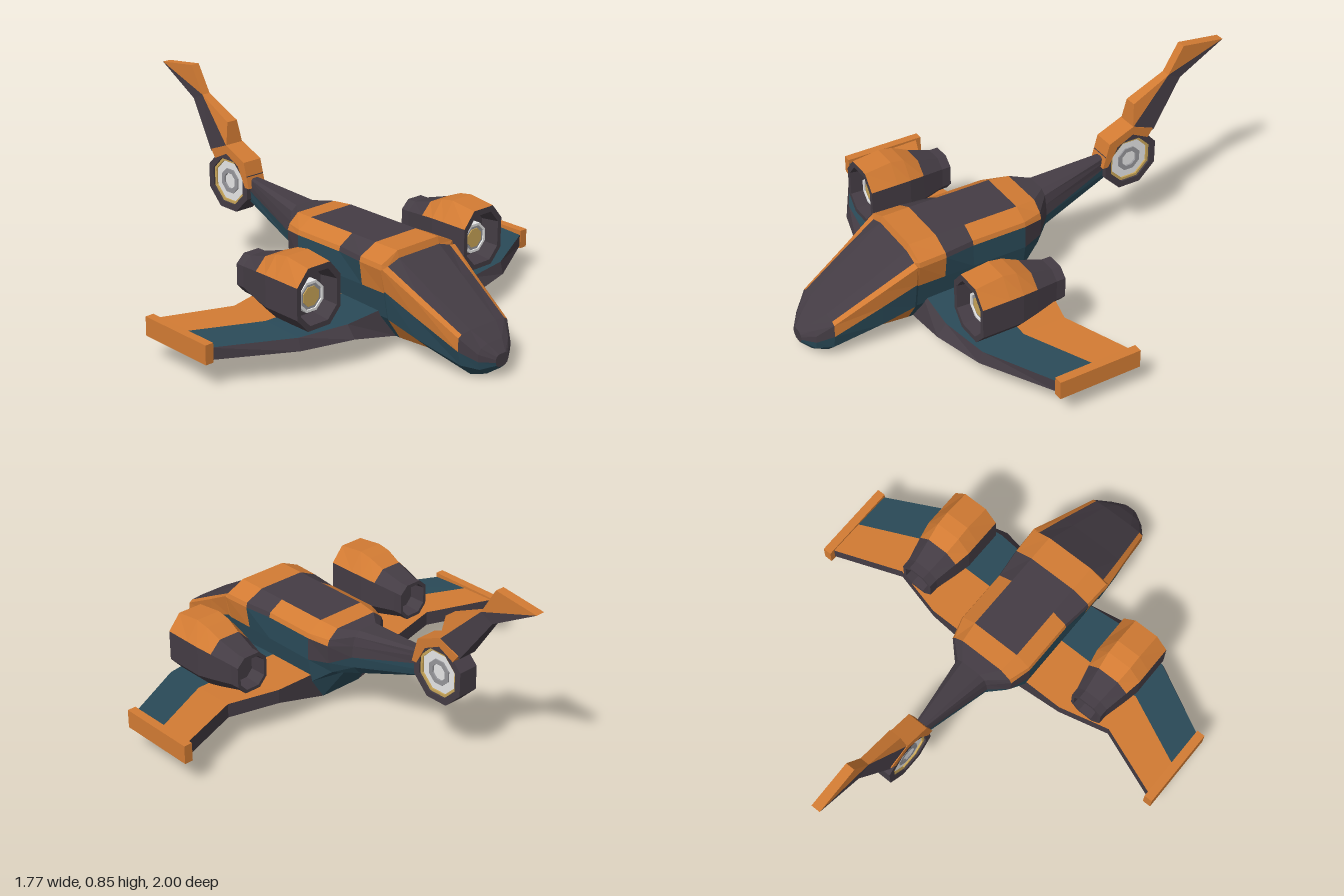
import * as THREE from 'three';

const COLORS = { O: ['orangePaint', 0xd27b33], D: ['darkHull', 0x443c44], T: ['tealHull', 0x2a4a58],
  W: ['whiteMetal', 0xe6e6e6], S: ['silverMetal', 0x96969a], G: ['goldMetal', 0xcaa658] };

export function createModel() {
  const mats = {};
  for (const [k, [name, color]] of Object.entries(COLORS)) {
    mats[k] = new THREE.MeshStandardMaterial({ color });
    mats[k].name = name;
  }
  const root = new THREE.Group();
  root.name = 'jetAircraft';

  const add = (name, geo, mat, parent = root) => {
    const mesh = new THREE.Mesh(geo, mat);
    mesh.name = name;
    parent.add(mesh);
    return mesh;
  };

  // Faceted skin through closed rings that turn counterclockwise about the direction of progress;
  // colorAt(segment, edge) gives the colour letter, caps close both ends.
  function loft(name, rings, colorAt, capColor, parent) {
    const faces = {};
    const tri = (k, ...pts) => (faces[k] ??= []).push(...pts.flat());
    const n = rings[0].length;
    for (let i = 0; i < rings.length - 1; i++) {
      for (let j = 0; j < n; j++) {
        const a = rings[i][j], b = rings[i][(j + 1) % n], c = rings[i + 1][(j + 1) % n], d = rings[i + 1][j];
        const k = colorAt(i, j);
        tri(k, a, b, c);
        tri(k, a, c, d);
      }
    }
    const first = rings[0], last = rings[rings.length - 1];
    for (let j = 1; j < n - 1; j++) {
      tri(capColor, first[0], first[j + 1], first[j]);
      tri(capColor, last[0], last[j], last[j + 1]);
    }
    const geo = new THREE.BufferGeometry();
    const keys = Object.keys(faces);
    let start = 0;
    keys.forEach((k, i) => {
      geo.addGroup(start, faces[k].length / 3, i);
      start += faces[k].length / 3;
    });
    geo.setAttribute('position', new THREE.Float32BufferAttribute(keys.flatMap(k => faces[k]), 3));
    geo.computeVertexNormals();
    add(name, geo, keys.map(k => mats[k]), parent);
  }

  // Closed ring at depth z from the right-hand half of a section, mirrored in x
  const mirrorRing = (z, half) => [
    ...half.map(([x, y]) => [x, y, z]),
    ...[...half].reverse().map(([x, y]) => [-x, y, z]),
  ];

  // Upright plate from [z, y, halfWidth] corners
  function plate(name, pts, color) {
    let area = 0;
    pts.forEach((p, i) => {
      const q = pts[(i + 1) % pts.length];
      area += p[1] * q[0] - q[1] * p[0];
    });
    const p = area < 0 ? [...pts].reverse() : pts;
    loft(name, [-1, 1].map(s => p.map(([z, y, w]) => [s * w, y, z])), () => color, color);
  }

  // Eight-sided ring around the y axis
  function ring(name, rIn, rOut, h, color, parent) {
    const p = [[rIn, -h], [rOut, -h], [rOut, h], [rIn, h], [rIn, -h]].map(v => new THREE.Vector2(...v));
    const geo = new THREE.LatheGeometry(p, 8, Math.PI / 8).toNonIndexed();
    geo.computeVertexNormals();
    add(name, geo, mats[color], parent);
  }

  // Fuselage: z, then half-section corners from belly to roof; the cabin keeps one section
  // whose shoulders flare outwards
  const cabin = (z, flare) => [z, [.10, .055], [.16, .15], [.18, .26],
    [.18 + flare, .36], [.174 + flare, .38], [.11, .418]];
  const tail = [
    [-0.44, [.012, .335], [.018, .36], [.02, .39], [.02, .42], [.018, .437], [.01, .442]],
    [-0.10, [.04, .21], [.075, .25], [.085, .30], [.08, .35], [.07, .39], [.045, .41]],
    [-0.03, [.06, .195], [.13, .22], [.15, .27], [.155, .35], [.145, .375], [.10, .412]],
  ];
  const nose = [
    [0.56, [.10, .055], [.165, .15], [.185, .27], [.20, .365], [.17, .37], [.11, .39]],
    [0.70, [.085, .055], [.15, .11], [.163, .205], [.172, .285], [.15, .295], [.095, .305]],
    [0.90, [.06, .005], [.12, .06], [.135, .12], [.135, .175], [.118, .185], [.07, .19]],
    [0.96, [.04, .022], [.08, .05], [.09, .085], [.09, .115], [.075, .135], [.04, .145]],
    [1.00, [.018, .055], [.03, .065], [.035, .078], [.035, .09], [.03, .10], [.018, .107]],
  ];
  const hull = [...tail, cabin(0.06, 0), cabin(0.30, 0), cabin(0.43, 0.015), cabin(0.55, 0.02), ...nose];
  // Colours of each segment, belly to roof
  const hullPaint = ['TTDDDD', 'TTDDDD', 'TTDOOO', 'TTTOOD', 'TTTDDD', 'TTOOOO', 'TTOOOO', 'OTOODD',
    'TTOODD', 'TTDDDD', 'TTDDDD'];
  loft('fuselage', hull.map(([z, ...half]) => mirrorRing(z, half)),
    (i, j) => (j === 11 ? 'T' : hullPaint[i][Math.min(j, 10 - j)]), 'D');

  // Wings, tip to tip: x, rear z, paint line z, front z at top and bottom, bottom y
  const wing = [
    [0.86, 0, 0.16, 0.33, 0.33, 0.12],
    [0.56, 0.115, 0.30, 0.485, 0.50, 0.12],
    [0.34, 0.06, 0.30, 0.52, 0.56, 0.12],
    [0.10, 0.06, 0.30, 0.50, 0.54, 0.056],
  ];
  const span = [...wing.map(([x, ...r]) => [-x, ...r]), ...[...wing].reverse()];
  loft('wings', span.map(([x, zr, zm, zt, zb, yb]) => [
    [x, 0.182, zr], [x, 0.178, zm], [x, 0.17, zt], [x, yb, zb], [x, yb, zr],
  ]), (i, j) => 'OTDTD'[j], 'D');

  for (const s of [1, -1]) {
    const side = s > 0 ? 'left' : 'right';
    add(side + 'WingTip', new THREE.BoxGeometry(0.037, 0.08, 0.36).translate(s * 0.867, 0.15, 0.16), mats.O);

    // Wing engine: hollow nacelle with an orange cowl on top
    const engine = new THREE.Group();
    engine.name = side + 'Engine';
    engine.position.set(s * 0.45, 0.29, 0);
    root.add(engine);
    // Stations: z, scale, roof height
    const stations = [[.16, .5, .06], [.09, .55, .07], [.09, .67, .085], [.13, .68, .085], [.23, .88, .115],
      [.30, 1, .145], [.36, 1, .155], [.48, 1, .14], [.48, .82, .115], [.40, .74, .10]];
    const nacelleRing = ([z, k, roof]) => mirrorRing(z,
      [[.055 * k, -.115 * k], [.11 * k, -.055 * k], [.11 * k, .075 * k], [.055 * k, roof]]);
    loft('nacelle', stations.map(nacelleRing),
      (i, j) => (i >= 4 && i <= 6 && j >= 2 && j <= 4 ? 'O' : 'D'), 'D', engine);

    // Turbine inside the intake
    const turbine = new THREE.Group();
    turbine.name = 'turbine';
    turbine.rotation.x = Math.PI / 2;
    turbine.position.z = 0.42;
    engine.add(turbine);
    ring('turbineRim', 0.055, 0.066, 0.018, 'W', turbine);
    ring('turbineBlades', 0.038, 0.056, 0.012, 'S', turbine);
    ring('turbineHub', 0, 0.042, 0.016, 'G', turbine);
  }

  // Tail rotor housing, axis across the body
  const pod = new THREE.Group();
  pod.name = 'tailRotor';
  pod.position.set(0, 0.4, -0.537);
  pod.rotation.z = Math.PI / 2;
  root.add(pod);
  ring('rotorHousing', 0.104, 0.134, 0.045, 'D', pod);
  ring('rotorGoldRing', 0.092, 0.106, 0.037, 'G', pod);
  ring('rotorWhiteRing', 0.055, 0.094, 0.03, 'W', pod);
  ring('rotorSilverRing', 0.036, 0.056, 0.036, 'S', pod);
  ring('rotorHub', 0, 0.037, 0.028, 'W', pod);

  // Orange collar over the rotor
  const outer = [[-.40, .40], [-.43, .51], [-.545, .56], [-.645, .52]];
  const inner = [[-.425, .40], [-.47, .485], [-.545, .522], [-.62, .485]];
  for (let i = 0; i < 3; i++) {
    plate('rotorCollar', [outer[i], outer[i + 1], inner[i + 1], inner[i]].map(p => [...p, 0.046]), 'O');
  }

  // Swept tail fin
  plate('finBase', [[-.545, .555, .044], [-.73, .738, .02], [-.79, .71, .02], [-.65, .51, .042]], 'D');
  plate('finLeadingEdge', [[-.545, .555, .044], [-.557, .655, .026], [-.73, .738, .02]], 'O');
  plate('finUpper', [[-.73, .738, .02], [-1, .83, .02], [-.79, .71, .02]], 'D');
  plate('finTip', [[-.73, .738, .02], [-.8, .855, .02], [-1, .83, .02]], 'O');

  return root;
}
